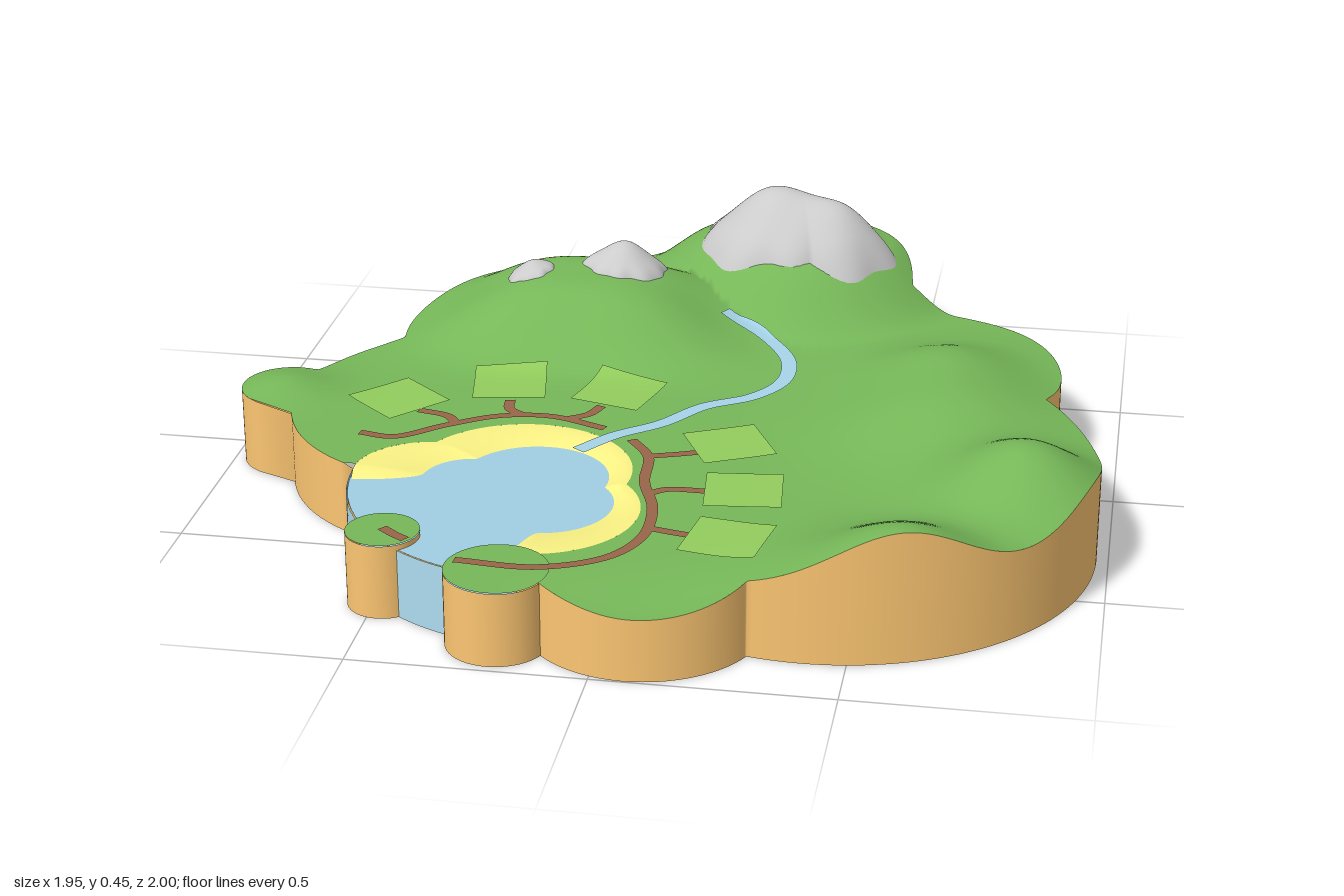
import * as THREE from 'three';
import { ParametricGeometry } from 'three/addons/geometries/ParametricGeometry.js';

const { sin, cos, PI, abs, exp, sqrt, max, hypot } = Math;
const { smoothstep: smooth, lerp } = THREE.MathUtils;
const WATER_Y = 0.153;
const POND = [-0.165, 0.43], POND_R = 0.457;

// circles [x, z, radius] whose unions outline the land and the beach
const LAND = [
  [0.1, -0.615, 0.385], [-0.25, -0.34, 0.44], [-0.43, 0.07, 0.42], [-0.87, 0.065, 0.11],
  [0.07, 0.745, 0.252], [0.41, 0.3, 0.565], [0.45, -0.22, 0.415], [...POND, POND_R],
];
const BEACH = [[-0.26, 0.4, 0.24], [-0.19, 0.58, 0.22], [-0.46, 0.45, 0.16]];
const ISLETS = [[-0.48, 0.74, 0.078], [-0.21, 0.875, 0.108]];

// hills [x, z, height, spreadX, spreadZ]
const HILLS = [
  [-0.3, -0.72, 0.04, 0.3, 0.2], [0.2, -0.68, 0.075, 0.22, 0.22],
  [0.6, 0.82, 0.125, 0.2, 0.2], [0.82, 0.4, 0.135, 0.18, 0.18],
  [0.72, 0.02, 0.045, 0.25, 0.2], [0.58, 0.05, 0.045, 0.2, 0.25], [0.6, -0.22, 0.06, 0.18, 0.16],
  [0.8, -0.45, 0.02, 0.3, 0.25], [-0.88, 0.06, 0.03, 0.1, 0.1], [0.1, 0.98, -0.028, 0.2, 0.2],
];

function landHeight(x, z) {
  // two plateaus under the mountains, with the river valley between them
  const back = 0.105 * (1 - smooth(hypot(x - 0.2, z + 0.76), 0.22, 0.42));
  const ridge = 0.145 * exp(-(abs((x + 0.27) / 0.31) ** 3) - abs((z + 0.41) / 0.22) ** 3);
  let h = max(back, ridge);
  for (const [hx, hz, a, sx, sz] of HILLS) h += a * exp(-(((x - hx) / sx) ** 2) - ((z - hz) / sz) ** 2);
  return 0.165 + h * smooth(hypot(x + 0.2, z - 0.45), 0.42, 0.62);
}

// farthest point of a union of circles along a ray from a centre
function reach(circles, a, [ox, oz] = POND) {
  let best = 0;
  for (const [cx, cz, r] of circles) {
    const dx = cx - ox, dz = cz - oz;
    const along = dx * cos(a) + dz * sin(a);
    const d2 = r * r - (dx * dx + dz * dz - along * along);
    if (d2 >= 0) best = max(best, along + sqrt(d2));
  }
  return best;
}

const openWater = (a) => a > PI / 2 && a < PI;
const shore = (a) => (openWater(a) ? POND_R : reach(LAND, a));
// 1 along the land, fading to 0 where the pond is open
const landward = (a) => (openWater(a) ? max(1 - smooth(a, PI / 2, PI / 2 + 0.3), smooth(a, PI - 0.3, PI)) : 1);

function surface(name, color, f, nu, nv) {
  const mesh = new THREE.Mesh(
    new ParametricGeometry(f, nu, nv),
    new THREE.MeshStandardMaterial({ color, side: THREE.DoubleSide })
  );
  mesh.name = name;
  return mesh;
}

// disc or ring around a centre, radius and height given by rules
function polar(name, color, c, a0, a1, radius, height, nu, nv) {
  return surface(name, color, (u, v, p) => {
    const a = a0 + u * (a1 - a0), r = radius(a, v);
    const x = c[0] + r * cos(a), z = c[1] + r * sin(a);
    p.set(x, height(x, z, a, v), z);
  }, nu, nv);
}

// distance from a disc's middle, kept just above zero
const spread = (v) => 0.0002 + 0.9998 * v;

// upright wall from the ground to a top given by a rule
function wall(name, color, c, a0, a1, radius, top, nu) {
  return surface(name, color, (u, v, p) => {
    const a = a0 + u * (a1 - a0), r = radius(a);
    const x = c[0] + r * cos(a), z = c[1] + r * sin(a);
    p.set(x, top(x, z, a) * (1 - v), z);
  }, nu, 1);
}

// flat strip lying on the land along a curve
function ribbon(name, color, pts, width, lift) {
  const curve = new THREE.CatmullRomCurve3(pts.map(([x, z]) => new THREE.Vector3(x, 0, z)));
  return surface(name, color, (u, v, p) => {
    const q = curve.getPoint(u), t = curve.getTangent(u), s = (v - 0.5) * width;
    const x = q.x - t.z * s, z = q.z + t.x * s;
    p.set(x, landHeight(x, z) + lift, z);
  }, pts.length * 10, 2);
}

// rounded rock: outline circles, and peaks [x, z, height, spread]
function mountain(c, outline, peaks, rim) {
  return polar('mountain', 0xcccccc, c, 0, 2 * PI,
    (a, v) => reach(outline, a, c) * spread(v) * (1 + v * v * (0.04 * sin(5 * a + c[0] * 9) + 0.03 * sin(9 * a))),
    (x, z, a, v) => {
      let h = rim * (1 - v ** 8) - 0.004;
      for (const [px, pz, ph, s] of peaks) h += ph * exp(-((x - px) ** 2 + (z - pz) ** 2) / (s * s)) * (1 - v ** 4);
      return landHeight(x, z) + h;
    }, 96, 24);
}

export function createModel() {
  const group = new THREE.Group();
  const GREEN = 0x76b758, TAN = 0xfcc672;

  // land, from the beach edge to the shore
  group.add(polar('land', GREEN, POND, PI, PI * 2.5,
    (a, v) => {
      const b = a % (2 * PI), inner = reach(BEACH, b);
      return lerp(inner, max(shore(b), inner), v);
    }, landHeight, 420, 70));

  // cliff all round the island
  group.add(wall('cliff', TAN, POND, 0, 2 * PI, shore,
    (x, z, a) => (openWater(a) ? WATER_Y : landHeight(x, z)), 720));

  // pond surface and its open side
  group.add(polar('pondWater', 0xa0cde3, POND, 0, 2 * PI, (a, v) => POND_R * spread(v), () => WATER_Y, 96, 4));
  group.add(wall('pondSide', 0xaedcf0, POND, PI / 2, PI, () => POND_R + 0.003, () => WATER_Y, 48));

  // beach bowl that dips under the water and runs out to the open side
  group.add(polar('beach', 0xfaf284, POND, 0, 2 * PI,
    (a, v) => lerp(POND_R - 0.006, reach(BEACH, a), landward(a)) * spread(v),
    (x, z, a, v) => 0.13 + 0.035 * landward(a) * smooth(v, 0.2, 0.97), 240, 20));

  // small round islets at the mouth of the pond
  for (const [x, z, r] of ISLETS) {
    const islet = new THREE.Group();
    islet.name = 'islet';
    islet.add(wall('isletCliff', TAN, [x, z], 0, 2 * PI, () => r, landHeight, 48));
    islet.add(polar('isletTop', GREEN, [x, z], 0, 2 * PI, (a, v) => r * spread(v),
      (px, pz) => landHeight(px, pz) + 0.002, 48, 6));
    group.add(islet);
  }

  // river
  group.add(ribbon('river', 0xa6d3e8,
    [[0.06, -0.42], [0.16, -0.37], [0.23, -0.27], [0.235, -0.14], [0.18, -0.05], [0.08, 0.02],
      [0, 0.13], [-0.09, 0.21], [-0.155, 0.3]], 0.036, 0.009));

  // main footpaths and the branches to the plots
  const paths = [
    [[-0.65, 0.28], [-0.57, 0.29], [-0.47, 0.21], [-0.36, 0.14], [-0.25, 0.125], [-0.12, 0.17]],
    [[-0.05, 0.22], [0, 0.3], [0.015, 0.43], [0.055, 0.56], [0.055, 0.7], [0, 0.8], [-0.13, 0.865], [-0.3, 0.86]],
    [[-0.55, 0.14], [-0.48, 0.16], [-0.45, 0.2]],
    [[-0.36, 0.05], [-0.35, 0.1], [-0.31, 0.13]],
    [[-0.15, 0.05], [-0.17, 0.1], [-0.21, 0.13]],
    [[0.11, 0.26], [0.06, 0.28], [0, 0.3]],
    [[0.15, 0.455], [0.07, 0.46], [0.03, 0.49]],
    [[0.15, 0.67], [0.1, 0.66], [0.06, 0.65]],
    [[-0.48, 0.74], [-0.45, 0.765], [-0.42, 0.785]],
  ];
  for (const pts of paths) group.add(ribbon('footpath', 0x98664a, pts, 0.024, 0.006));

  // square plots [x, z, turn]
  const plots = [[-0.61, 0.085, 0.72], [-0.38, -0.04, -0.17], [-0.125, -0.035, 0.27],
    [0.165, 0.21, -0.45], [0.23, 0.44, -0.1], [0.23, 0.675, 0.15]];
  for (const [x, z, t] of plots) {
    group.add(surface('plot', 0x92cc5c, (u, v, p) => {
      const a = (u - 0.5) * 0.165, b = (0.5 - v) * 0.165;
      const px = x + a * cos(t) - b * sin(t), pz = z + a * sin(t) + b * cos(t);
      p.set(px, landHeight(px, pz) + 0.008, pz);
    }, 8, 8));
  }

  // grey mountains
  group.add(mountain([0.2, -0.7], [[0.15, -0.71, 0.195], [0.31, -0.645, 0.125]],
    [[0.13, -0.69, 0.078, 0.12], [0.32, -0.65, 0.066, 0.1]], 0.032));
  group.add(mountain([-0.19, -0.47], [[-0.185, -0.48, 0.095], [-0.21, -0.47, 0.08]], [[-0.19, -0.48, 0.04, 0.06]], 0.02));
  group.add(mountain([-0.41, -0.42], [[-0.41, -0.42, 0.057]], [[-0.41, -0.42, 0.016, 0.035]], 0.014));
  return group;
}
